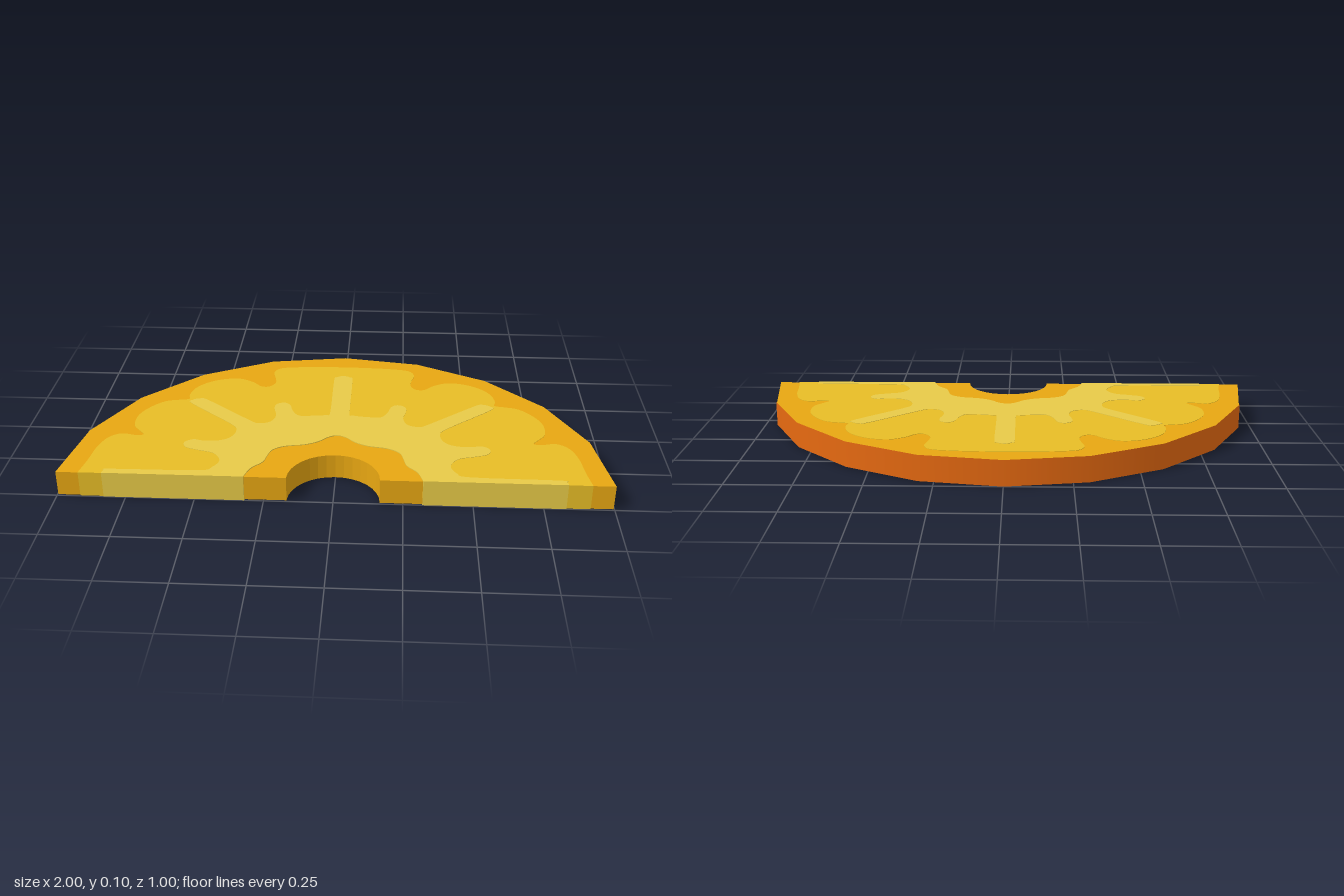
import * as THREE from 'three';

const HEIGHT = 0.1;
const CUT_Z = 0.5; // plane of the straight cut, also the centre of the ring

const mat = (name, color) => {
  const m = new THREE.MeshStandardMaterial({ color });
  m.name = name;
  return m;
};

// Right halves of the outlines: [x, distance behind the cut], from the middle to the cut
const FLESH_EDGE = [
  [0, .904], [.1, .902], [.2, .895], [.27, .88], [.293, .84], [.283, .79], [.278, .745], [.3, .71], [.335, .71],
  [.37, .745], [.43, .775], [.5, .765], [.56, .73], [.6, .68], [.615, .62], [.61, .585], [.645, .575],
  [.7, .56], [.75, .51], [.785, .44], [.785, .36], [.755, .315], [.735, .287], [.765, .28], [.82, .29],
  [.865, .255], [.89, .18], [.9, .09], [.915, 0],
];
const CORE_EDGE = [
  [0, .82], [.028, .807], [.038, .775], [.038, .5], [.052, .475], [.11, .465], [.16, .465], [.187, .505],
  [.2, .55], [.225, .57], [.255, .555], [.26, .52], [.248, .46], [.265, .41], [.31, .395], [.35, .42],
  [.53, .575], [.565, .59], [.595, .575], [.592, .545], [.42, .39], [.388, .34], [.4, .285], [.44, .255],
  [.5, .25], [.54, .258], [.57, .235], [.56, .2], [.51, .18], [.45, .16], [.42, .11], [.44, .06], [.49, .035],
  [.8, .03], [.825, .02], [.83, 0],
];
const HEART_EDGE = [
  [0, .315], [.035, .3], [.07, .265], [.12, .24], [.19, .225], [.235, .195], [.25, .15], [.262, .105],
  [.3, .06], [.32, 0],
];

// Mirror a half outline and smooth it, running from left to right
function smoothOutline(half) {
  const left = half.slice(1).reverse().map(([x, v]) => [-x, v]);
  const pts = [...left, ...half].map(([x, v]) => new THREE.Vector2(x, v));
  const smooth = new THREE.SplineCurve(pts).getPoints((pts.length - 1) * 4);
  smooth.forEach((p) => { p.y = Math.max(0, p.y); });
  return smooth;
}

// Points on a half circle, running from left to right
function arc(radius, segments) {
  return Array.from({ length: segments + 1 }, (_, i) => {
    const a = Math.PI * (1 - i / segments);
    return new THREE.Vector2(Math.cos(a) * radius, Math.sin(a) * radius);
  });
}

// Half-ring slab between two outlines, inset a little so the layers nest
function slab(name, outer, inner, inset, material) {
  const shape = new THREE.Shape([...outer, ...inner.slice().reverse()]);
  const geo = new THREE.ExtrudeGeometry(shape, { depth: HEIGHT - 2 * inset, bevelEnabled: false });
  geo.rotateX(-Math.PI / 2);
  geo.translate(0, inset, CUT_Z - inset);
  const mesh = new THREE.Mesh(geo, material);
  mesh.name = name;
  return mesh;
}

export function createModel() {
  const group = new THREE.Group();
  group.name = 'fruitSlice';
  const heart = smoothOutline(HEART_EDGE);

  // Slice body, seen along the rim and around the hole
  group.add(slab('sliceBody', arc(0.996, 10), arc(0.167, 16), 0.003, mat('amber', 0xefac13)));
  // Lobed flesh and spoked core, running through the full thickness
  group.add(slab('flesh', smoothOutline(FLESH_EDGE), heart, 0.0015, mat('golden flesh', 0xedc227)));
  group.add(slab('core', smoothOutline(CORE_EDGE), heart, 0, mat('pale core', 0xeed04a)));

  // Curved rind around the outside
  const rindGeo = new THREE.CylinderGeometry(1, 1, HEIGHT, 10, 1, true, Math.PI / 2, Math.PI);
  rindGeo.translate(0, HEIGHT / 2, CUT_Z);
  const rind = new THREE.Mesh(rindGeo, mat('orange rind', 0xf06e12));
  rind.name = 'rind';
  group.add(rind);

  return group;
}
